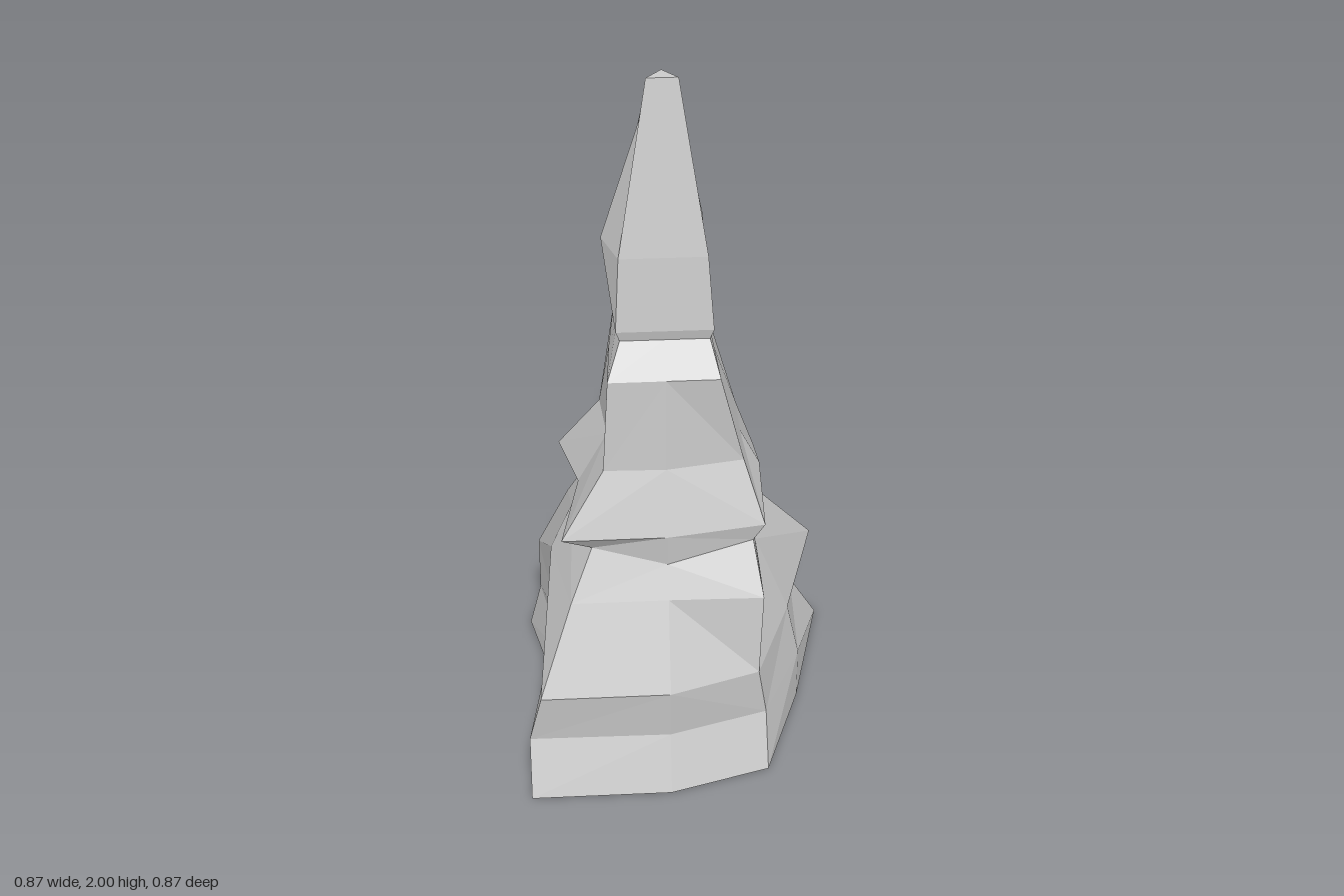
import * as THREE from 'three';

const MX = -0.05, MZ = 0.045; // lines on which the side midpoints lie

// Eight-point ring: four corners and four side midpoints.
// front / back: [left x, left z, middle z, right x, right z]; sides: [left x, right x]
// lift: height offsets for the points in order, starting at the front left corner
function ring(y, front, back, sides, lift = []) {
  const [flx, flz, fz, frx, frz] = front;
  const [blx, blz, bz, brx, brz] = back;
  const plan = [
    [flx, flz], [MX, fz], [frx, frz], [sides[1], MZ],
    [brx, brz], [MX, bz], [blx, blz], [sides[0], MZ],
  ];
  return plan.map(([x, z], i) => new THREE.Vector3(x, y + (lift[i] ?? 0), z));
}

// Faceted skin through a stack of rings, with optional end caps
function loft(name, rings, { bottom, top } = {}) {
  const pts = [];
  for (let r = 0; r < rings.length - 1; r++) {
    for (let i = 0; i < 8; i++) {
      const j = (i + 1) % 8;
      const a = rings[r][i], b = rings[r][j], c = rings[r + 1][j], d = rings[r + 1][i];
      if (i % 2) pts.push(a, b, d, b, c, d);
      else pts.push(a, b, c, a, c, d);
    }
  }
  const last = rings[rings.length - 1];
  for (let i = 0; i < 8; i++) {
    const j = (i + 1) % 8;
    if (bottom) pts.push(bottom, rings[0][j], rings[0][i]);
    if (top) pts.push(top, last[i], last[j]);
  }
  const geometry = new THREE.BufferGeometry().setFromPoints(pts);
  geometry.computeVertexNormals();
  const mesh = new THREE.Mesh(geometry, new THREE.MeshStandardMaterial({ color: 0xcccccc, flatShading: true }));
  mesh.name = name;
  return mesh;
}

export function createModel() {
  const group = new THREE.Group();
  group.name = 'rockSpire';

  // Wide foot narrowing to the waist
  const waist = ring(0.715, [-0.25, 0.24, 0.26, 0.18, 0.23], [-0.25, -0.15, -0.17, 0.18, -0.15], [-0.3, 0.18],
    [0, -0.05, 0, 0.02, 0, -0.03, 0, 0]);
  const foot = [
    ring(0, [-0.435, 0.43, 0.43, 0.225, 0.35], [-0.435, -0.335, -0.435, 0.43, -0.335], [-0.345, 0.335]),
    ring(0.165, [-0.435, 0.37, 0.375, 0.22, 0.295], [-0.4, -0.3, -0.39, 0.345, -0.29], [-0.33, 0.335]),
    ring(0.33, [-0.4, 0.4, 0.4, 0.195, 0.32], [-0.4, -0.305, -0.345, 0.4, -0.305], [-0.35, 0.3]),
    ring(0.575, [-0.31, 0.3, 0.3, 0.205, 0.305], [-0.31, -0.215, -0.215, 0.21, -0.215], [-0.36, 0.205]),
    waist,
  ];

  // Overhanging ledge and the tier above it
  const neck = ring(1.31, [-0.165, 0.165, 0.165, 0.065, 0.165], [-0.15, -0.135, -0.135, 0.05, -0.135], [-0.165, 0.065]);
  const tier = [
    waist,
    ring(0.765, [-0.33, 0.275, 0.275, 0.21, 0.24], [-0.33, -0.185, -0.185, 0.21, -0.135], [-0.28, 0.21],
      [0, 0, 0.005, 0.07, 0.005, 0, 0, 0.03]),
    ring(0.945, [-0.215, 0.215, 0.22, 0.155, 0.185], [-0.215, -0.12, -0.12, 0.155, -0.085], [-0.2, 0.155]),
    ring(1.22, [-0.2, 0.22, 0.22, 0.09, 0.22], [-0.17, -0.165, -0.165, 0.07, -0.165], [-0.19, 0.08]),
    neck,
  ];

  // Tapering peak with a chipped tip
  const peak = [
    neck,
    ring(1.34, [-0.175, 0.173, 0.173, 0.075, 0.173], [-0.155, -0.145, -0.145, 0.055, -0.145], [-0.175, 0.075]),
    ring(1.545, [-0.165, 0.16, 0.16, 0.06, 0.16], [-0.16, -0.06, -0.06, 0.06, -0.06], [-0.205, 0.055]),
    ring(2, [-0.09, 0.09, 0.09, -0.01, 0.09], [-0.09, 0.005, 0.005, -0.01, 0.005], [-0.09, -0.01],
      [0, 0, 0, -0.085, -0.085, -0.085, -0.085, -0.085]),
  ];

  group.add(
    loft('foot', foot, { bottom: new THREE.Vector3(MX, 0, MZ) }),
    loft('ledgeTier', tier),
    loft('peak', peak, { top: new THREE.Vector3(MX, 2, MZ) }),
  );
  return group;
}
